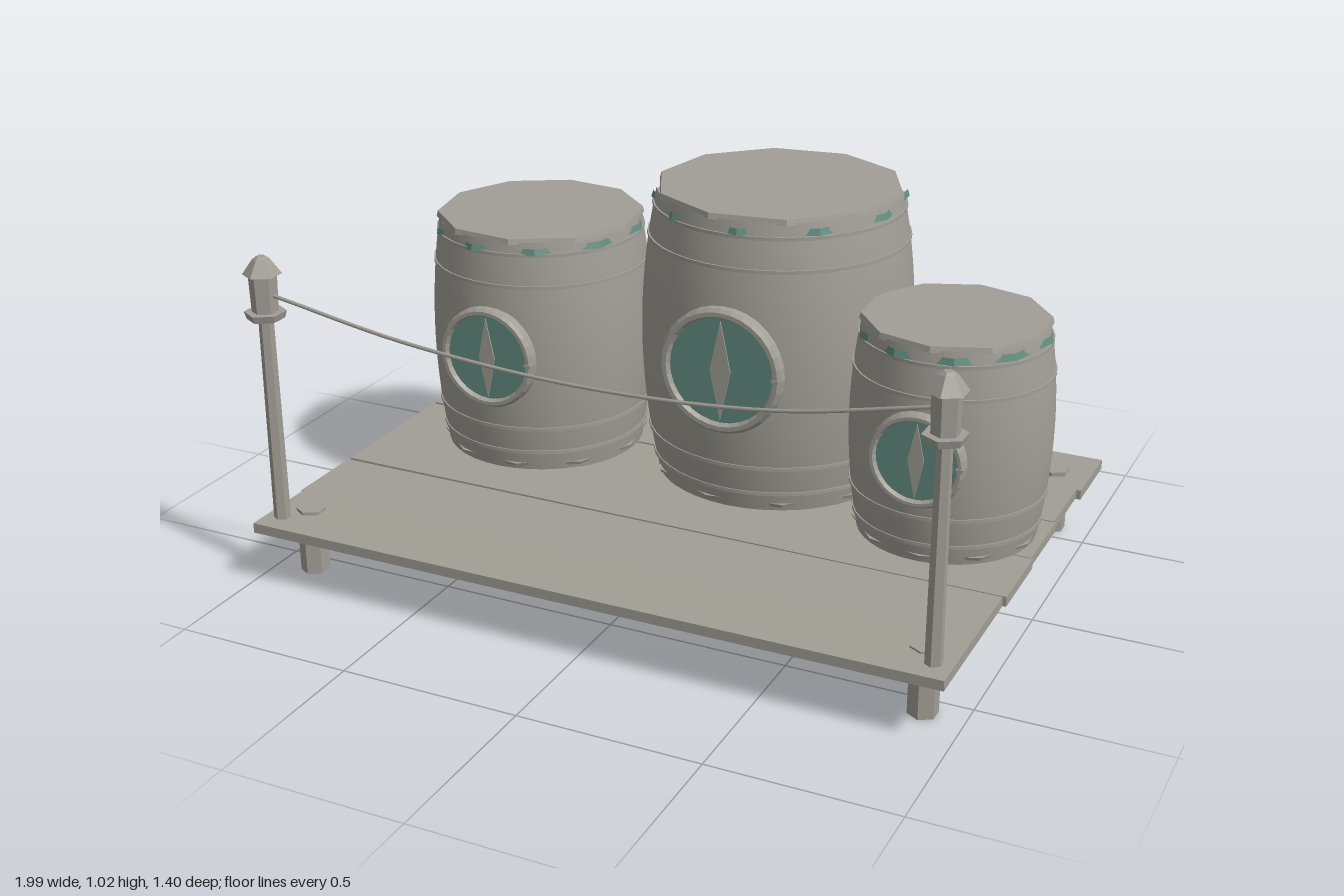
import * as THREE from 'three';

const wood = new THREE.MeshStandardMaterial({ color: 0xa19e96 });
wood.name = 'weathered grey';
const teal = new THREE.MeshStandardMaterial({ color: 0x628c7f });
teal.name = 'muted teal';

function add(parent, name, geometry, material, x = 0, y = 0, z = 0) {
  const mesh = new THREE.Mesh(geometry, material);
  mesh.name = name;
  mesh.position.set(x, y, z);
  parent.add(mesh);
  return mesh;
}

// Geometry with one normal per face
function faceted(geometry) {
  const flat = geometry.index ? geometry.toNonIndexed() : geometry;
  flat.computeVertexNormals();
  return flat;
}

const prism = (rTop, rBottom, h, sides) => faceted(new THREE.CylinderGeometry(rTop, rBottom, h, sides));

// Round window on the barrel's front: disc, bevelled rim, slit and small latch
function makeWindow(r) {
  const g = new THREE.Group();
  g.name = 'window';
  add(g, 'windowPane', new THREE.CircleGeometry(r * 0.88, 32), teal, 0, 0, 0.008);
  const inner = r * 0.84;
  const profile = [[inner, -0.012], [r, -0.012], [r, 0.012], [r * 0.95, 0.021], [r * 0.88, 0.021], [inner, 0.01], [inner, -0.012]];
  const rim = new THREE.LatheGeometry(profile.map(([a, b]) => new THREE.Vector2(a, b)), 32);
  add(g, 'windowRim', faceted(rim), wood).rotation.x = Math.PI / 2;
  const slit = new THREE.Shape();
  const w = r * 0.17, h = r * 0.8;
  slit.moveTo(0, -h);
  slit.lineTo(w, 0);
  slit.lineTo(0, h);
  slit.lineTo(-w, 0);
  add(g, 'windowSlit', new THREE.ExtrudeGeometry(slit, { depth: 0.004, bevelEnabled: false }), wood, 0, 0, 0.009);
  add(g, 'windowLatch', new THREE.BoxGeometry(0.02, 0.008, 0.008), wood, r * 0.92, 0, 0.02);
  return g;
}

function makeBarrel({ x, z, r, rEnd, top, windowY, windowR, hoops, turn }) {
  const g = new THREE.Group();
  g.name = 'barrel';
  g.position.set(x, 0, z);
  const base = 0.18, mid = (base + top) / 2, half = (top - base) / 2;
  const radiusAt = (y) => r - (r - rEnd) * Math.pow(Math.abs(y - mid) / half, 2);

  // Bulging staves
  const profile = [];
  for (let i = 0; i <= 16; i++) {
    const y = base + (top - 0.01 - base) * i / 16;
    profile.push(new THREE.Vector2(radiusAt(y), y));
  }
  add(g, 'barrelBody', new THREE.LatheGeometry(profile, 40), wood);
  add(g, 'barrelBottom', new THREE.CircleGeometry(rEnd, 40), wood, 0, base, 0).rotation.x = Math.PI / 2;

  // Ten-sided lid whose corners overhang the staves
  add(g, 'barrelLid', prism(rEnd + 0.006, rEnd + 0.01, 0.016, 10), wood, 0, top - 0.008, 0).rotation.y = turn;

  // Painted end bands, just breaking the surface at their corners
  const paint = add(g, 'paintedBand', faceted(new THREE.CylinderGeometry(rEnd + 0.012, rEnd + 0.018, 0.018, 10, 1, true)), teal, 0, top - 0.03, 0);
  paint.rotation.set(0.015, turn + 0.25, 0.015);
  const foot = add(g, 'footBand', prism(rEnd + 0.014, rEnd + 0.01, 0.01, 10), wood, 0, base + 0.018, 0);
  foot.rotation.y = turn;

  // Thin hoops
  for (const y of hoops) {
    add(g, 'hoop', new THREE.CylinderGeometry(radiusAt(y) + 0.004, radiusAt(y) + 0.004, 0.01, 40), wood, 0, y, 0);
  }

  const win = makeWindow(windowR);
  win.position.set(0, windowY, r);
  g.add(win);
  return g;
}

// Six planks with slightly uneven ends
function makeDeck() {
  const g = new THREE.Group();
  g.name = 'deck';
  const depth = 1.4 / 6;
  const ends = [[-0.985, 0.992], [-0.985, 0.98], [-0.995, 0.985], [-0.985, 0.99], [-0.992, 0.98], [-0.985, 0.982]];
  ends.forEach(([a, b], i) => {
    const plank = add(g, 'plank', new THREE.BoxGeometry(b - a, 0.028, depth - 0.002), wood,
      (a + b) / 2, 0.164 + (i % 2) * 0.003, -0.7 + depth * (i + 0.5));
    plank.rotation.z = (i % 3 - 1) * 0.002;
  });
  return g;
}

// Lantern on a post
function makeLanternPost(x) {
  const g = new THREE.Group();
  g.name = 'lanternPost';
  g.position.set(x, 0, 0.63);
  add(g, 'post', prism(0.02, 0.023, 0.61, 6), wood, 0, 0.455, 0);
  add(g, 'lanternPlate', prism(0.056, 0.05, 0.02, 6), wood, 0, 0.768, 0);
  add(g, 'lanternBody', prism(0.038, 0.035, 0.11, 6), wood, 0, 0.83, 0);
  add(g, 'lanternRoof', prism(0.022, 0.052, 0.042, 6), wood, 0, 0.902, 0);
  add(g, 'lanternCap', prism(0.012, 0.022, 0.008, 6), wood, 0, 0.926, 0);
  return g;
}

export function createModel() {
  const model = new THREE.Group();
  model.name = 'barrelStand';
  model.add(makeDeck());

  // Pegs standing through the deck as legs
  for (const x of [-0.89, 0.89]) {
    for (const z of [-0.563, 0.563]) {
      add(model, 'leg', prism(0.04, 0.04, 0.188, 6), wood, x, 0.094, z);
    }
  }

  const barrels = [
    { x: -0.57, z: -0.195, r: 0.318, rEnd: 0.288, top: 0.875, windowY: 0.53, windowR: 0.147, hoops: [0.24, 0.315, 0.74, 0.83], turn: 0.2 },
    { x: 0.135, z: -0.288, r: 0.383, rEnd: 0.338, top: 1.018, windowY: 0.6, windowR: 0.178, hoops: [0.235, 0.315, 0.88, 0.967], turn: 0.45 },
    { x: 0.717, z: -0.1, r: 0.272, rEnd: 0.243, top: 0.785, windowY: 0.482, windowR: 0.13, hoops: [0.235, 0.315, 0.648, 0.735], turn: 0.05 },
  ];
  for (const b of barrels) model.add(makeBarrel(b));

  for (const x of [-0.938, 0.932]) model.add(makeLanternPost(x));

  // Sagging rope between the lanterns
  const path = new THREE.CatmullRomCurve3([
    [-0.91, 0.825], [-0.5, 0.758], [0, 0.727], [0.5, 0.755], [0.91, 0.838],
  ].map(([x, y]) => new THREE.Vector3(x, y, 0.63)));
  add(model, 'rope', new THREE.TubeGeometry(path, 32, 0.005, 6), wood);

  return model;
}
